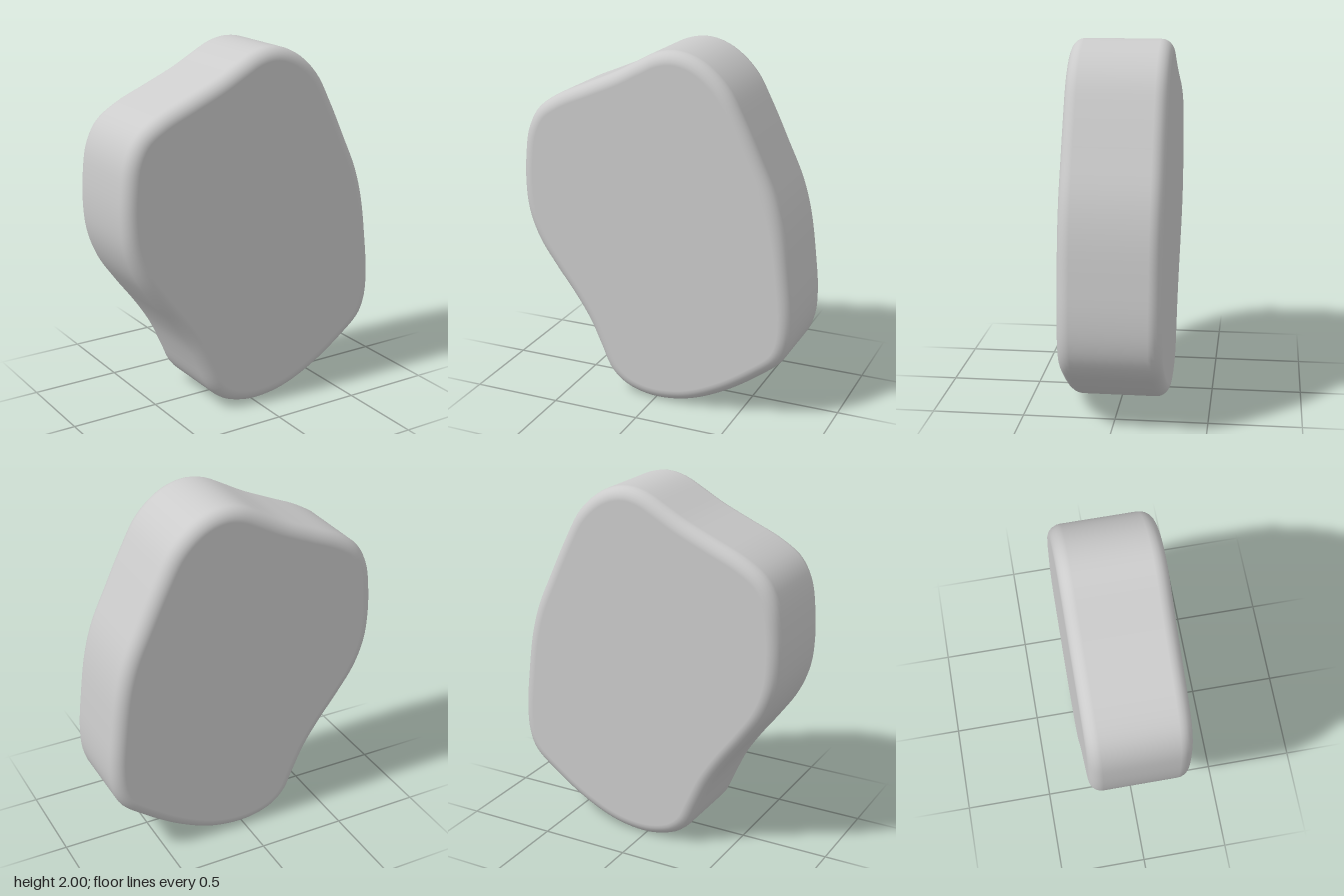
import * as THREE from 'three';

// Outline of the slab, counter-clockwise from the foot
const OUTLINE = [
  [0.02, 0], [0.2, 0.025], [0.4, 0.11], [0.6, 0.24], [0.74, 0.36], [0.785, 0.47],
  [0.795, 0.62], [0.775, 0.84], [0.74, 1.08], [0.69, 1.26], [0.6, 1.46], [0.5, 1.67],
  [0.41, 1.83], [0.3, 1.935], [0.2, 1.985], [0.1, 2], [0, 1.98], [-0.1, 1.93],
  [-0.23, 1.86], [-0.4, 1.785], [-0.58, 1.705], [-0.7, 1.62], [-0.765, 1.5], [-0.79, 1.35],
  [-0.797, 1.18], [-0.78, 1.02], [-0.72, 0.86], [-0.62, 0.71], [-0.5, 0.55], [-0.41, 0.41],
  [-0.34, 0.26], [-0.28, 0.13], [-0.2, 0.055], [-0.1, 0.015],
];
const FRONT = 0.272, BACK = -0.272, ROUND = 0.07;
const SEGMENTS = 160, STEPS = 6;

export function createModel() {
  const group = new THREE.Group();
  group.name = 'stoneSlab';
  const material = new THREE.MeshStandardMaterial({ color: 0xcccccc });

  const curve = new THREE.CatmullRomCurve3(
    OUTLINE.map(([x, y]) => new THREE.Vector3(x, y, 0)), true, 'centripetal');
  const points = curve.getSpacedPoints(SEGMENTS).slice(0, SEGMENTS);
  const normals = points.map((p, i) => {
    const a = points[(i + SEGMENTS - 2) % SEGMENTS], b = points[(i + 2) % SEGMENTS];
    return new THREE.Vector2(b.y - a.y, a.x - b.x).normalize();
  });

  // Cross-section rings: quarter round at the back, straight wall, quarter round at the front
  const rings = [];
  for (let s = 0; s <= STEPS; s++) rings.push([-Math.PI / 2 * (1 - s / STEPS), BACK + ROUND]);
  for (let s = 0; s <= STEPS; s++) rings.push([Math.PI / 2 * s / STEPS, FRONT - ROUND]);

  const position = [], normal = [], index = [];
  rings.forEach(([angle, z], r) => {
    const c = Math.cos(angle), s = Math.sin(angle), inset = ROUND * (1 - c);
    points.forEach((p, i) => {
      const n = normals[i];
      position.push(p.x - n.x * inset, p.y - n.y * inset, z + ROUND * s);
      normal.push(n.x * c, n.y * c, s);
      if (r === 0) return;
      const j = (i + 1) % SEGMENTS, lo = (r - 1) * SEGMENTS, hi = r * SEGMENTS;
      index.push(lo + i, lo + j, hi + j, lo + i, hi + j, hi + i);
    });
  });
  const wall = new THREE.BufferGeometry();
  wall.setAttribute('position', new THREE.Float32BufferAttribute(position, 3));
  wall.setAttribute('normal', new THREE.Float32BufferAttribute(normal, 3));
  wall.setIndex(index);
  const rim = new THREE.Mesh(wall, material);
  rim.name = 'roundedRim';
  group.add(rim);

  // Flat faces closing both sides
  const addFace = (name, z, mirror) => {
    const shape = new THREE.Shape(points.map((p, i) => new THREE.Vector2(
      (p.x - normals[i].x * ROUND) * mirror, p.y - normals[i].y * ROUND)));
    const face = new THREE.Mesh(new THREE.ShapeGeometry(shape), material);
    face.name = name;
    face.position.z = z;
    if (mirror < 0) face.rotation.y = Math.PI;
    group.add(face);
  };
  addFace('frontFace', FRONT, 1);
  addFace('backFace', BACK, -1);
  return group;
}
